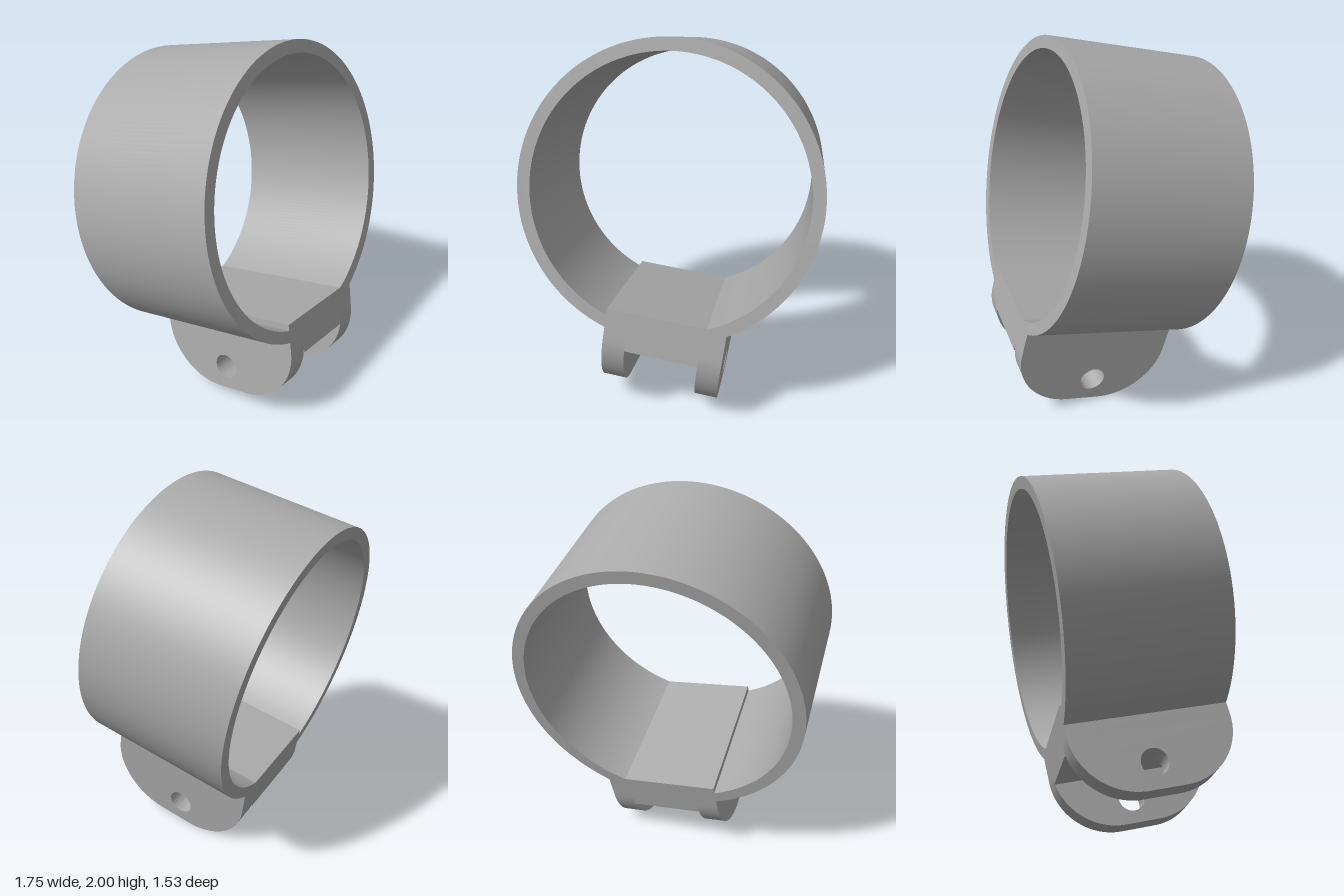
import * as THREE from 'three';
import { toCreasedNormals } from 'three/addons/utils/BufferGeometryUtils.js';

const R_OUT = 0.767, R_IN = 0.702, LENGTH = 0.847;
const LEFT = -0.22, RIGHT = 0.407;          // outer faces of the mount
const FLOOR = -0.633, SHOULDER = -0.79, WEB = -0.846, BOTTOM = -1.12;
const LUG = 0.12;                           // lug thickness

const onCircle = (r, x) => Math.atan2(-Math.sqrt(r * r - x * x), x);

function extrude(shape, depth) {
  const geo = new THREE.ExtrudeGeometry(shape, { depth, bevelEnabled: false, curveSegments: 96 });
  return toCreasedNormals(geo, 0.4);
}

export function createModel() {
  const model = new THREE.Group();
  const clamp = new THREE.Group();
  clamp.name = 'tiltedClamp';
  model.add(clamp);
  const grey = new THREE.MeshStandardMaterial({ color: 0xaaaaaa });
  grey.name = 'plain grey';

  const add = (name, geo) => {
    const mesh = new THREE.Mesh(geo, grey);
    mesh.name = name;
    clamp.add(mesh);
    return mesh;
  };

  // Ring with the mount block merged into its lower side
  const profile = new THREE.Shape();
  profile.absarc(0, 0, R_OUT, onCircle(R_OUT, RIGHT), onCircle(R_OUT, LEFT) + Math.PI * 2, false);
  profile.lineTo(LEFT, SHOULDER);
  profile.lineTo(RIGHT, SHOULDER);
  profile.closePath();

  // Opening with a flat floor and a small step on one side
  const opening = new THREE.Path();
  const floorEnd = Math.sqrt(R_IN * R_IN - FLOOR * FLOOR);
  opening.absarc(0, 0, R_IN, onCircle(R_IN, floorEnd), onCircle(R_IN, LEFT) + Math.PI * 2, false);
  opening.lineTo(LEFT, FLOOR);
  opening.closePath();
  profile.holes.push(opening);
  add('ring', extrude(profile, LENGTH)).position.z = -LENGTH / 2;

  // Web between the lugs
  const web = add('web', new THREE.BoxGeometry(RIGHT - LEFT - 2 * LUG, SHOULDER - WEB, LENGTH));
  web.position.set((LEFT + RIGHT) / 2, (SHOULDER + WEB) / 2, 0);

  // Two rounded lugs with a pin hole
  const r = SHOULDER - BOTTOM, flat = LENGTH / 2 - r;
  const tongue = new THREE.Shape();
  tongue.moveTo(LENGTH / 2, SHOULDER);
  tongue.lineTo(-LENGTH / 2, SHOULDER);
  tongue.absarc(-flat, SHOULDER, r, Math.PI, Math.PI * 1.5, false);
  tongue.absarc(flat, SHOULDER, r, Math.PI * 1.5, Math.PI * 2, false);
  const pin = new THREE.Path();
  pin.absarc(0.03, -0.985, 0.07, 0, Math.PI * 2, true);
  tongue.holes.push(pin);
  const lugGeo = extrude(tongue, LUG).rotateY(Math.PI / 2);
  add('rightLug', lugGeo).position.x = LEFT;
  add('leftLug', lugGeo).position.x = RIGHT - LUG;

  // Tilt of the whole clamp: the ring axis points forward, left and slightly up
  const axis = new THREE.Vector3(0.484, 0.2125, 0.85).normalize();
  const up = axis.clone().cross(new THREE.Vector3(0.87, -0.115, -0.47)).normalize();
  const side = up.clone().cross(axis);
  clamp.quaternion.setFromRotationMatrix(new THREE.Matrix4().makeBasis(side, up, axis));
  clamp.position.y = 1.16;
  return model;
}
